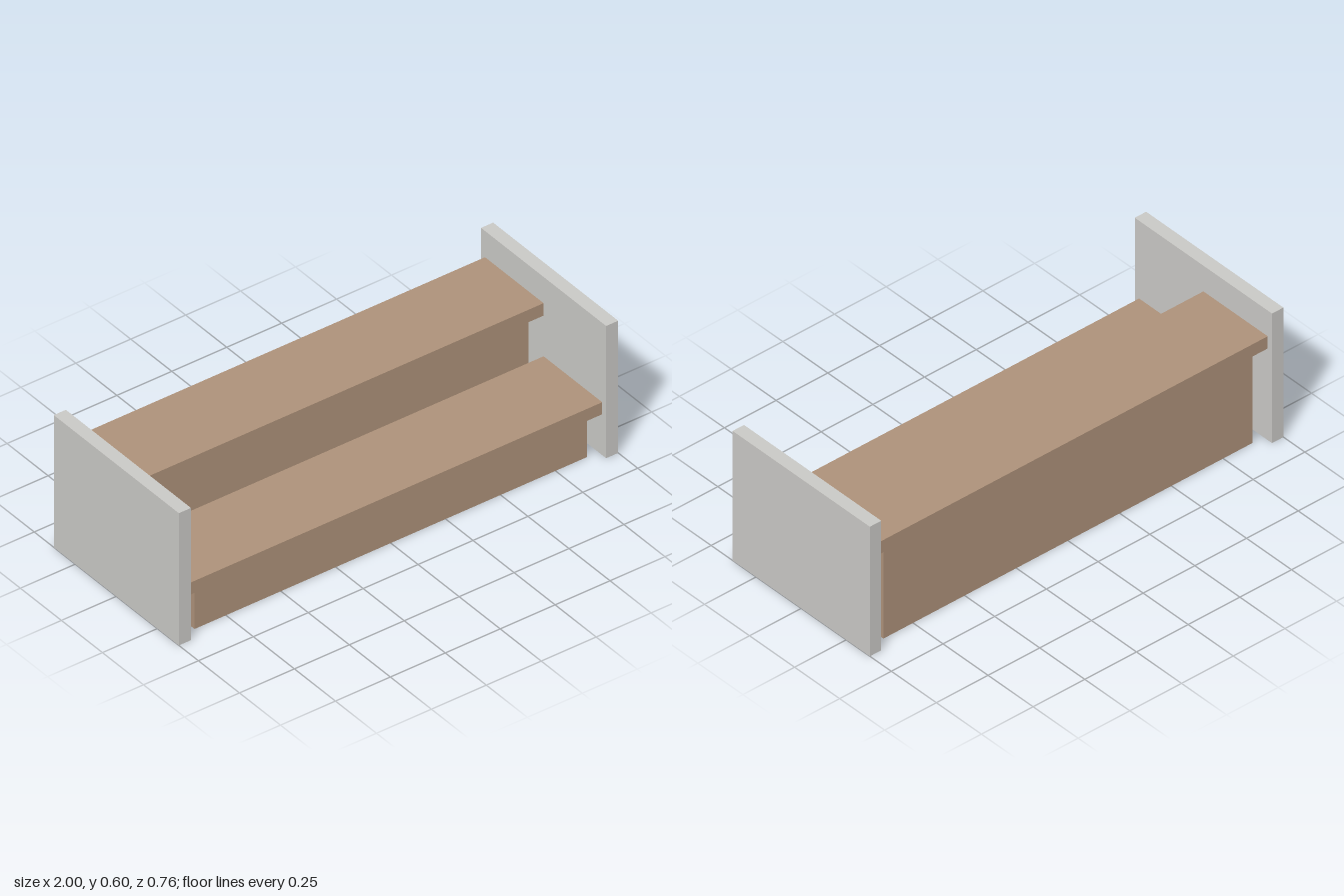
import * as THREE from 'three';

export function createModel() {
  const group = new THREE.Group();
  const wood = new THREE.MeshStandardMaterial({ color: 0xae927a });
  wood.name = 'wood';
  const grey = new THREE.MeshStandardMaterial({ color: 0xcac9c6 });
  grey.name = 'light grey';

  // Box given by its extents on each axis
  function box(name, material, [x0, x1], [y0, y1], [z0, z1]) {
    const mesh = new THREE.Mesh(new THREE.BoxGeometry(x1 - x0, y1 - y0, z1 - z0), material);
    mesh.position.set((x0 + x1) / 2, (y0 + y1) / 2, (z0 + z1) / 2);
    mesh.name = name;
    group.add(mesh);
  }

  // Side panels
  box('leftPanel', grey, [0.945, 1], [0, 0.595], [-0.381, 0.381]);
  box('rightPanel', grey, [-1, -0.945], [0, 0.595], [-0.381, 0.381]);

  // Two steps: an inset base block with an overhanging tread board
  const steps = [
    { name: 'lower', z: 0.1785, base: 0.184, top: 0.238 },
    { name: 'upper', z: -0.1785, base: 0.421, top: 0.477 },
  ];
  for (const { name, z, base, top } of steps) {
    box(name + 'Base', wood, [-0.893, 0.893], [0, base], [z - 0.155, z + 0.155]);
    box(name + 'Tread', wood, [-0.945, 0.945], [base, top], [z - 0.1785, z + 0.1785]);
  }
  return group;
}
